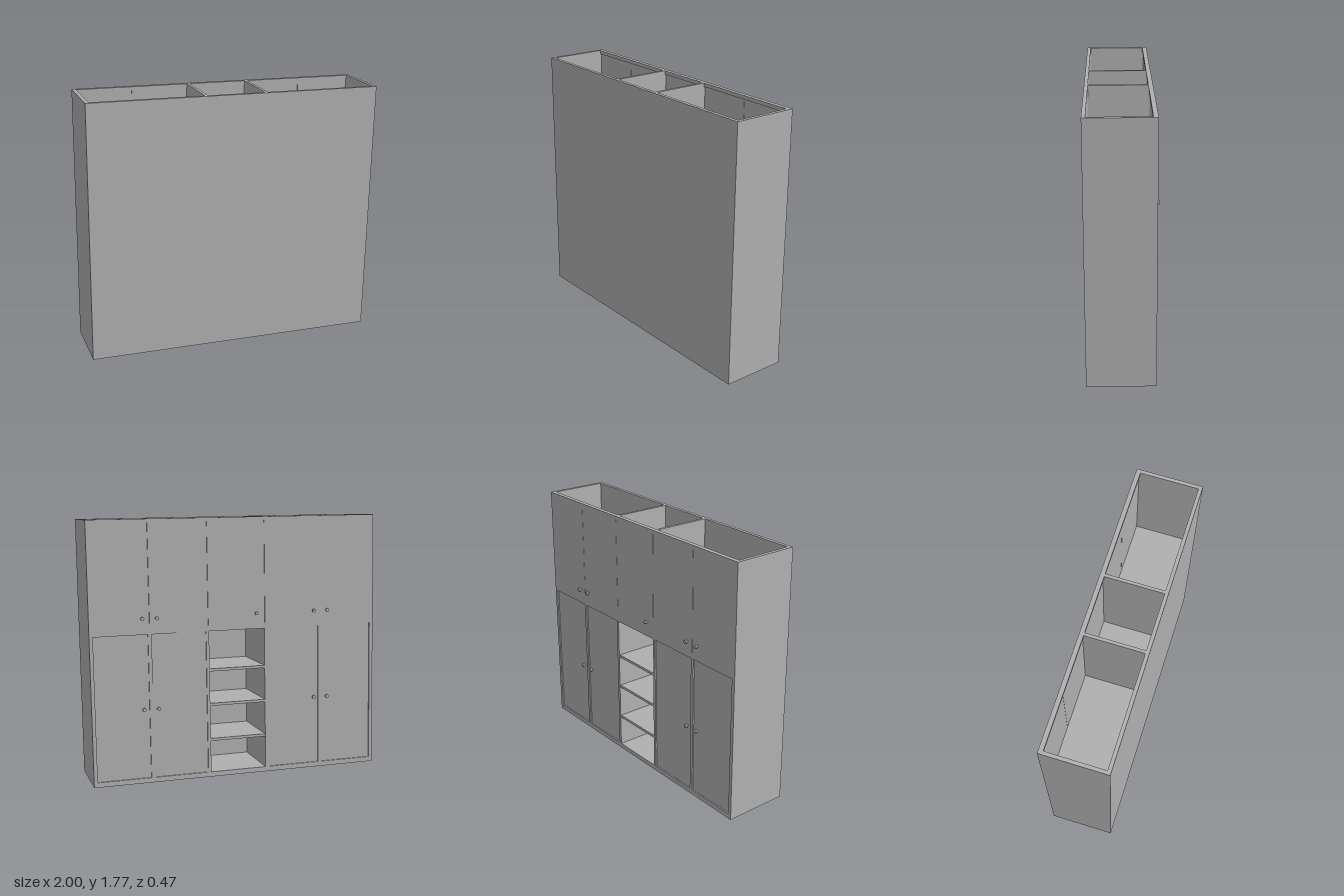
import * as THREE from 'three';

export function createModel() {
  const grey = new THREE.MeshStandardMaterial({ color: 0xb0b0b0 });
  grey.name = 'grey';

  const W = 0.9875, H = 1.735, D = 0.22, T = 0.024;
  const cabinet = new THREE.Group();
  cabinet.name = 'cabinet';

  // box given by its limits on each axis
  function board(name, x0, x1, y0, y1, z0, z1) {
    const mesh = new THREE.Mesh(new THREE.BoxGeometry(x1 - x0, y1 - y0, z1 - z0), grey);
    mesh.position.set((x0 + x1) / 2, (y0 + y1) / 2, (z0 + z1) / 2);
    mesh.name = name;
    cabinet.add(mesh);
  }

  // small round knob on a thin stem, pointing to -z
  function knob(x, y, z) {
    const g = new THREE.Group();
    g.name = 'knob';
    for (const [r, len, off] of [[0.006, 0.014, 0.006], [0.012, 0.012, 0.018]]) {
      const part = new THREE.Mesh(new THREE.CylinderGeometry(r, r, len, 16), grey);
      part.rotation.x = Math.PI / 2;
      part.position.z = -off;
      g.add(part);
    }
    g.position.set(x, y, z);
    cabinet.add(g);
  }

  const inner = D - T;      // inside limit in z
  const face = -D;          // door face
  const midLow = 0.99, midTop = 1.03, base = 0.033;

  // carcass, open at the top
  board('backBoard', -W, W, 0, H, inner, D);
  board('bottomBoard', -W + T, W - T, 0, base, face, inner);
  board('middleBoard', -W + T, W - T, midLow, midTop, face, inner);
  board('topRail', -W + T, W - T, H - 0.025, H, face, -D + 0.03);

  for (const s of [-1, 1]) {
    const span = (name, a, b, ...rest) => board(name, Math.min(s * a, s * b), Math.max(s * a, s * b), ...rest);
    span('sideWall', W - T, W, 0, H, face, inner);
    span('lowerPartition', 0.193, 0.213, base, midLow, face, inner);
    span('upperPartition', 0.195, 0.215, midTop, H, face + 0.022, inner);
    span('doorStile', 0.58, 0.604, base, midLow, face, face + 0.03);

    // recessed lower doors
    span('lowerDoor', 0.213, 0.58, base, midLow, face + 0.009, face + 0.029);
    span('lowerDoor', 0.604, W - T, base, midLow, face + 0.009, face + 0.029);
    for (const x of [0.545, 0.642]) {
      knob(s * x, 0.495, face + 0.009);
      knob(s * x, 1.095, face);
    }
  }
  knob(-0.135, 1.095, face);

  // five flush upper doors
  const step = 2 * W / 5;
  for (let i = 0; i < 5; i++) {
    const a = i === 0 ? -W + T : -W + i * step + 0.001;
    const b = i === 4 ? W - T : -W + (i + 1) * step - 0.001;
    board('upperDoor', a, b, midTop, H - 0.025, face, face + 0.022);
  }

  // shelves in the open middle bay
  for (const y of [0.263, 0.503, 0.737]) {
    board('shelf', -0.193, 0.193, y - 0.018, y, face + 0.005, inner);
  }

  // the whole cabinet stands slightly tilted
  cabinet.rotation.set(0.0055, 0, -0.0142);
  cabinet.position.set(-0.0125, 0.016, 0.005);

  const model = new THREE.Group();
  model.name = 'wardrobe';
  model.add(cabinet);
  return model;
}
